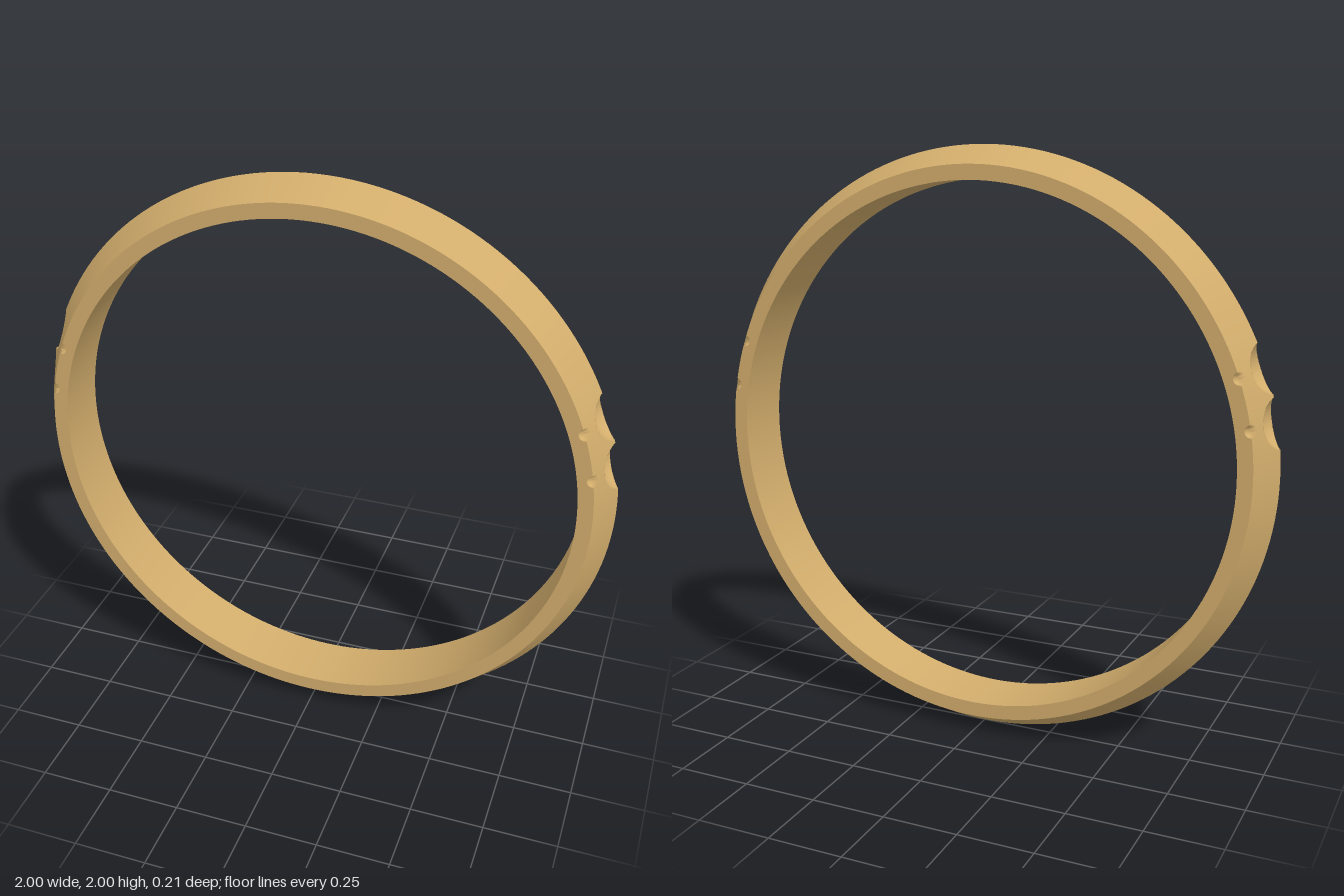
import * as THREE from 'three';

const INNER = 0.89, RIDGE = 1, EDGE = 0.94, HALF = 0.104;
const SLOPE = (RIDGE - EDGE) / HALF;
const RAD = Math.PI / 180;

// Spherical cuts on both sides: large dents on the ridge, small pits on the rims
const cuts = [];
for (const deg of [9.9, 19.9, 160.1, 170.1]) {
  cuts.push({ a: deg * RAD, r: 1.045, z: 0, size: 0.095 });
  for (const s of [-1, 1]) cuts.push({ a: deg * RAD, r: EDGE, z: s * HALF, size: 0.02 });
}

// Angles around the ring, closely spaced where the cuts are
const angles = [];
for (let d = 0; d < 360;) {
  angles.push(d * RAD);
  const fine = (d >= 4 && d < 26) || (d >= 154 && d < 176);
  d += fine ? 0.2 : 2;
  d = Math.round(d * 10) / 10;
}
angles.push(2 * Math.PI);

// Radius and normal (radial, tangential, axial) of the cut outer face
function outer(a, z, side) {
  let r = RIDGE - SLOPE * Math.abs(z);
  let n = [1, 0, side * SLOPE];
  for (const c of cuts) {
    const da = a - c.a, along = c.r * Math.cos(da), across = c.r * Math.sin(da);
    const q = c.size ** 2 - across ** 2 - (z - c.z) ** 2;
    if (along <= 0 || q <= 0) continue; // cut is on the far side, or misses
    const depth = along - Math.sqrt(q);
    if (depth < r) {
      r = depth;
      n = [along - r, -across, c.z - z];
    }
  }
  return { r, z, n };
}

// Sweeps a profile around z; profile(a, t) gives radius, z and normal
function sweep(name, rows, profile, material) {
  const pos = [], nor = [], idx = [], w = rows + 1;
  angles.forEach((a, i) => {
    const ca = Math.cos(a), sa = Math.sin(a);
    for (let j = 0; j <= rows; j++) {
      const { r, z, n } = profile(a, j / rows);
      pos.push(r * ca, r * sa, z);
      const v = new THREE.Vector3(n[0] * ca - n[1] * sa, n[0] * sa + n[1] * ca, n[2]).normalize();
      nor.push(v.x, v.y, v.z);
      if (i && j) {
        const p = (i - 1) * w + j - 1, q = p + w;
        idx.push(p, q, p + 1, q, q + 1, p + 1);
      }
    }
  });
  const g = new THREE.BufferGeometry();
  g.setAttribute('position', new THREE.Float32BufferAttribute(pos, 3));
  g.setAttribute('normal', new THREE.Float32BufferAttribute(nor, 3));
  g.setIndex(idx);
  const mesh = new THREE.Mesh(g, material);
  mesh.name = name;
  return mesh;
}

export function createModel() {
  const material = new THREE.MeshStandardMaterial({ color: 0xd2ad6c });
  const ring = new THREE.Group();
  ring.name = 'ring';

  // Two sloping outer faces meeting at the ridge
  ring.add(sweep('outerFaceBack', 32, (a, t) => outer(a, -HALF * (1 - t), -1), material));
  ring.add(sweep('outerFaceFront', 32, (a, t) => outer(a, HALF * t, 1), material));

  // Flat rims, whose outer edge follows the pits
  ring.add(sweep('rimFront', 1, (a, t) => ({
    r: THREE.MathUtils.lerp(outer(a, HALF, 1).r, INNER, t), z: HALF, n: [0, 0, 1],
  }), material));
  ring.add(sweep('rimBack', 1, (a, t) => ({
    r: THREE.MathUtils.lerp(INNER, outer(a, -HALF, -1).r, t), z: -HALF, n: [0, 0, -1],
  }), material));

  // Plain inner wall
  ring.add(sweep('innerWall', 1, (a, t) => ({
    r: INNER, z: HALF * (1 - 2 * t), n: [-1, 0, 0],
  }), material));

  ring.position.y = 1;
  const model = new THREE.Group();
  model.name = 'notchedRing';
  model.add(ring);
  return model;
}
